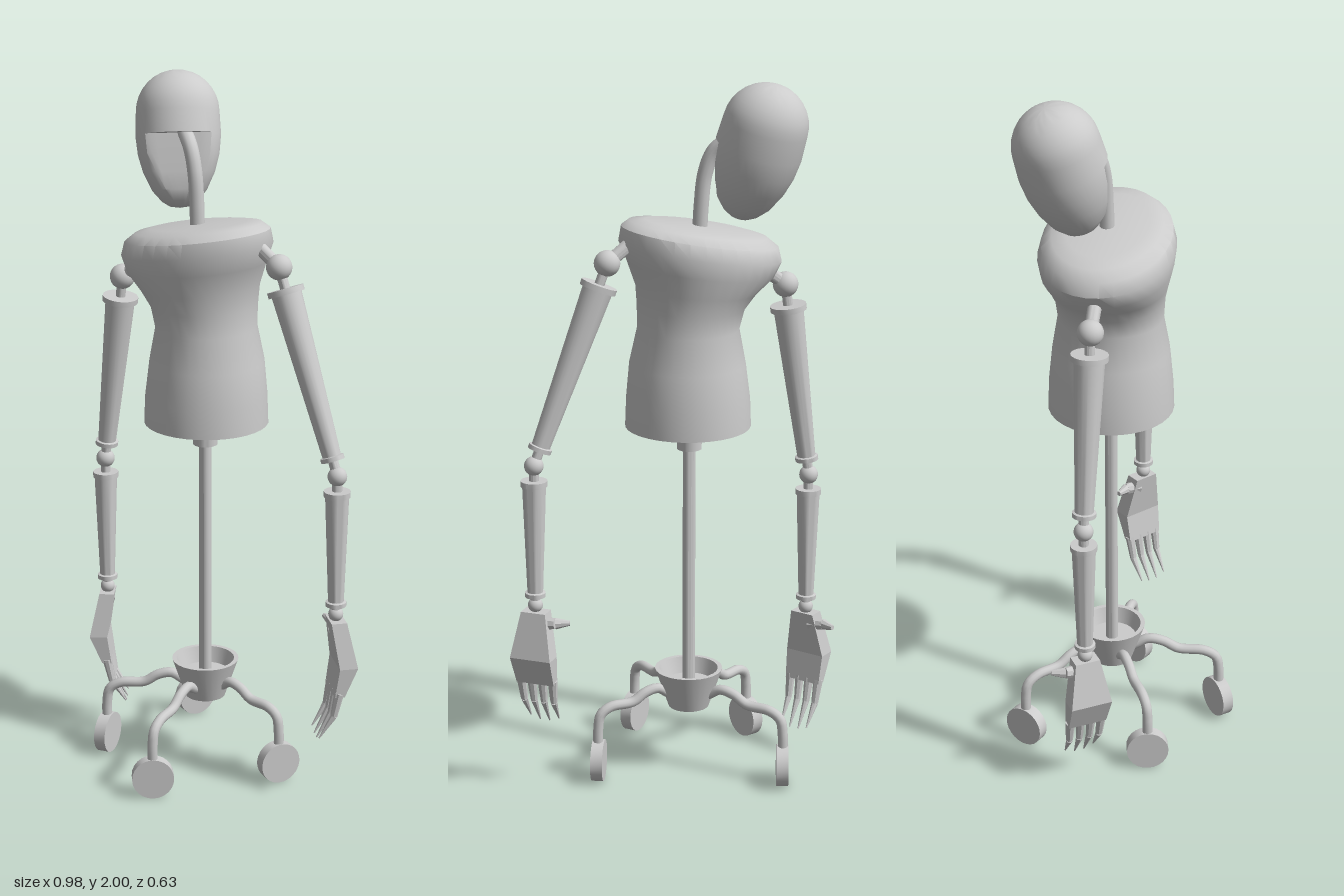
import * as THREE from 'three';
import { toCreasedNormals } from 'three/addons/utils/BufferGeometryUtils.js';

const V = (x, y, z) => new THREE.Vector3(x, y, z);
const UP = V(0, 1, 0);
const grey = new THREE.MeshStandardMaterial({ color: 0xcccccc });
const greyBoth = new THREE.MeshStandardMaterial({ color: 0xcccccc, side: THREE.DoubleSide });

function add(parent, name, geometry, material = grey) {
  const mesh = new THREE.Mesh(geometry, material);
  mesh.name = name;
  parent.add(mesh);
  return mesh;
}

// Skin over closed rings of equal point count, listed bottom to top
function loft(rings, crease) {
  const n = rings[0].length, index = [];
  for (let i = 0; i < rings.length - 1; i++) {
    for (let j = 0; j < n; j++) {
      const a = i * n + j, b = i * n + (j + 1) % n;
      index.push(a, b, a + n, b, b + n, a + n);
    }
  }
  const g = new THREE.BufferGeometry().setFromPoints(rings.flat());
  g.setIndex(index);
  return toCreasedNormals(g, crease);
}

function ring(n, f) {
  return Array.from({ length: n }, (_, j) => {
    const a = j / n * Math.PI * 2;
    return f(Math.cos(a), -Math.sin(a));
  });
}

// Turned part from a [radius, height] profile, listed bottom to top
function turned(profile, sides = 24) {
  const points = profile.map(([r, y]) => new THREE.Vector2(r, y));
  return toCreasedNormals(new THREE.LatheGeometry(points, sides), 0.6);
}

// Turned part standing on point a and pointing at point b
function along(parent, name, a, b, profile, sides) {
  const mesh = add(parent, name, turned(profile, sides));
  mesh.position.copy(a);
  mesh.quaternion.setFromUnitVectors(UP, b.clone().sub(a).normalize());
  return mesh;
}

function rod(parent, name, a, b, r0, r1, sides = 14) {
  const l = a.distanceTo(b);
  return along(parent, name, a, b, [[0, 0], [r0, 0], [r1, l], [0, l]], sides);
}

function ball(parent, name, p, r) {
  add(parent, name, new THREE.SphereGeometry(r, 20, 14)).position.copy(p);
}

function tube(parent, name, points, r) {
  add(parent, name, new THREE.TubeGeometry(new THREE.CatmullRomCurve3(points), 32, r, 12));
}

// Tapered arm segment between two joints, with a wide collar and a thin end ring
function limb(parent, name, a, b, start, end, r0, r1, collar) {
  const l = a.distanceTo(b) - end, s = start;
  rod(parent, name + 'Pin', a, b, 0.014, 0.014);
  along(parent, name, a, b, [
    [0, s - 0.008], [collar, s - 0.008], [collar, s + 0.008], [r0, s + 0.008],
    [r1, l - 0.014], [r1 + 0.007, l - 0.012], [r1 + 0.007, l], [0, l],
  ]);
}

// Angular palm, four pointed fingers and a thumb; fingers curl towards local +z
function makeHand(name, side, position, yaw) {
  const hand = new THREE.Group();
  hand.name = name;
  const sections = [ // y, z, half width, half thickness
    [-0.215, 0, 0, 0], [-0.215, 0, 0.056, 0.014], [-0.13, -0.024, 0.06, 0.026],
    [0, 0, 0.036, 0.022], [0, 0, 0, 0],
  ];
  const corners = [[1, 1], [1, -1], [-1, -1], [-1, 1]];
  add(hand, 'palm', loft(sections.map(([y, z, w, t]) =>
    corners.map(([cx, cz]) => V(cx * w, y, z + cz * t))), 0.2));
  for (let i = 0; i < 4; i++) {
    const x = (i - 1.5) * 0.03;
    const drop = i === 0 || i === 3 ? 0.01 : 0;
    const root = V(x * 1.05, -0.205, 0), mid = V(x, -0.275, 0.014);
    rod(hand, 'finger', root, mid, 0.014, 0.01, 8);
    rod(hand, 'fingertip', mid, V(x * 0.95, -0.35 + drop, 0.055), 0.01, 0.002, 8);
  }
  const knuckle = V(side * 0.06, -0.03, -0.002);
  rod(hand, 'thumb', V(side * 0.015, -0.035, 0), knuckle, 0.02, 0.016, 8);
  rod(hand, 'thumbTip', knuckle, V(side * 0.098, -0.028, 0.01), 0.016, 0.007, 8);
  hand.position.copy(position);
  hand.rotation.y = yaw;
  return hand;
}

function makeArm(name, torsoPoint, shoulder, elbow, wrist, hand) {
  const arm = new THREE.Group();
  arm.name = name;
  rod(arm, 'shoulderPeg', torsoPoint, shoulder, 0.02, 0.018);
  ball(arm, 'shoulderBall', shoulder, 0.036);
  limb(arm, 'upperArm', shoulder, elbow, 0.068, 0.045, 0.042, 0.026, 0.051);
  ball(arm, 'elbowBall', elbow, 0.027);
  limb(arm, 'forearm', elbow, wrist, 0.05, 0.025, 0.033, 0.022, 0.037);
  ball(arm, 'wristBall', wrist, 0.021);
  arm.add(hand);
  return arm;
}

function makeTorso() {
  const rows = [ // y, centre x, radius x, radius z, sideways slope
    [1.04, -0.04, 0.176, 0.176, 0], [1.12, -0.04, 0.173, 0.173, 0], [1.22, -0.038, 0.162, 0.163, 0],
    [1.32, -0.04, 0.141, 0.146, 0], [1.38, -0.047, 0.149, 0.151, 0.04], [1.43, -0.062, 0.168, 0.164, 0.09],
    [1.485, -0.075, 0.205, 0.179, 0.14], [1.535, -0.075, 0.229, 0.185, 0.16], [1.575, -0.074, 0.221, 0.175, 0.17],
    [1.596, -0.07, 0.195, 0.148, 0.17], [1.604, -0.07, 0.15, 0.11, 0.17], [1.606, -0.07, 0, 0, 0.17],
  ];
  const wall = 0.014;
  const toRing = ([y, cx, rx, rz, slope], inset) => ring(32, (c, s) => {
    const x = c * Math.max(0, rx - inset);
    return V(cx + x, y + x * slope, -0.048 + s * Math.max(0, rz - inset));
  });
  const inner = rows.slice(0, 8).reverse().map(r => toRing(r, wall));
  const roof = toRing([1.54, -0.075, 0, 0, 0], 0);
  return loft([roof, ...inner, ...rows.map(r => toRing(r, 0))], 0.7);
}

// Egg-shaped head with a flat recess under the skull where the neck enters
function makeHead() {
  const rows = [ // height along the head, radius, depth limit of the recess
    [-0.268, 0, 0.06], [-0.264, 0.028, 0.06], [-0.25, 0.05, 0.06], [-0.22, 0.076, 0.065],
    [-0.17, 0.1, 0.07], [-0.12, 0.114, 0.076], [-0.065, 0.12, 0.08], [-0.065, 0.12, 1], [0, 0.117, 1],
  ];
  for (let i = 1; i <= 8; i++) {
    const a = i / 8 * Math.PI / 2;
    rows.push([0.117 * Math.sin(a), 0.117 * Math.cos(a), 1]);
  }
  return loft(rows.map(([y, r, limit]) =>
    ring(36, (c, s) => V(c * r, y, Math.min(s * r, limit)))), 0.6);
}

export function createModel() {
  const model = new THREE.Group();
  model.name = 'mannequin';
  const cx = -0.044, cz = -0.048;

  // Body and stand
  add(model, 'torso', makeTorso());
  rod(model, 'pole', V(cx, 0.2, cz), V(cx, 1.1, cz), 0.018, 0.018);
  rod(model, 'poleCollar', V(cx, 0.97, cz), V(cx, 1.53, cz), 0.035, 0.035, 20);
  const cup = add(model, 'baseCup', turned([
    [0, 0.195], [0.058, 0.195], [0.097, 0.31], [0.084, 0.31], [0.07, 0.265], [0, 0.265],
  ], 28), greyBoth);
  cup.position.set(cx, 0, cz);

  // Wheeled legs: wheel position and axle direction
  const feet = [[0.02, 0.26, 0.69, 0.72], [-0.283, 0.118, 0.95, -0.3],
    [-0.257, -0.252, 0.94, 0.34], [0.23, -0.05, 0.91, 0.42]];
  const bend = [[0.1, 0.222], [0.22, 0.238], [0.34, 0.258], [0.48, 0.25], [0.62, 0.226],
    [0.86, 0.22], [0.97, 0.2], [1, 0.16], [1, 0.07]];
  for (const [x, z, ax, az] of feet) {
    tube(model, 'leg', bend.map(([t, y]) => V(cx + (x - cx) * t, y, cz + (z - cz) * t)), 0.0145);
    const half = V(ax, 0, az).normalize().multiplyScalar(0.017);
    const hub = V(x, 0.06, z);
    rod(model, 'wheel', hub.clone().sub(half), hub.clone().add(half), 0.06, 0.06, 24);
  }

  // Neck and tilted head
  tube(model, 'neck', [V(-0.072, 1.57, -0.048), V(-0.076, 1.66, -0.05), V(-0.086, 1.75, -0.053),
    V(-0.108, 1.81, -0.062), V(-0.15, 1.85, -0.085)], 0.021);
  const head = add(model, 'head', makeHead());
  const up = V(-0.2, 0.95, -0.2).normalize();
  const side = up.clone().cross(V(0.66, 0, 0.75)).normalize();
  head.quaternion.setFromRotationMatrix(
    new THREE.Matrix4().makeBasis(side, up, side.clone().cross(up)));
  head.position.set(-0.225, 1.885, -0.143);

  // Arms
  model.add(makeArm('rightArm', V(-0.22, 1.5, -0.035), V(-0.335, 1.415, -0.027),
    V(-0.413, 0.85, -0.03), V(-0.411, 0.447, -0.03),
    makeHand('rightHand', 1, V(-0.411, 0.432, -0.03), 2.21)));
  model.add(makeArm('leftArm', V(0.09, 1.6, -0.06), V(0.2, 1.523, -0.07),
    V(0.413, 0.97, -0.066), V(0.415, 0.565, -0.067),
    makeHand('leftHand', -1, V(0.415, 0.548, -0.07), -0.67)));
  return model;
}
